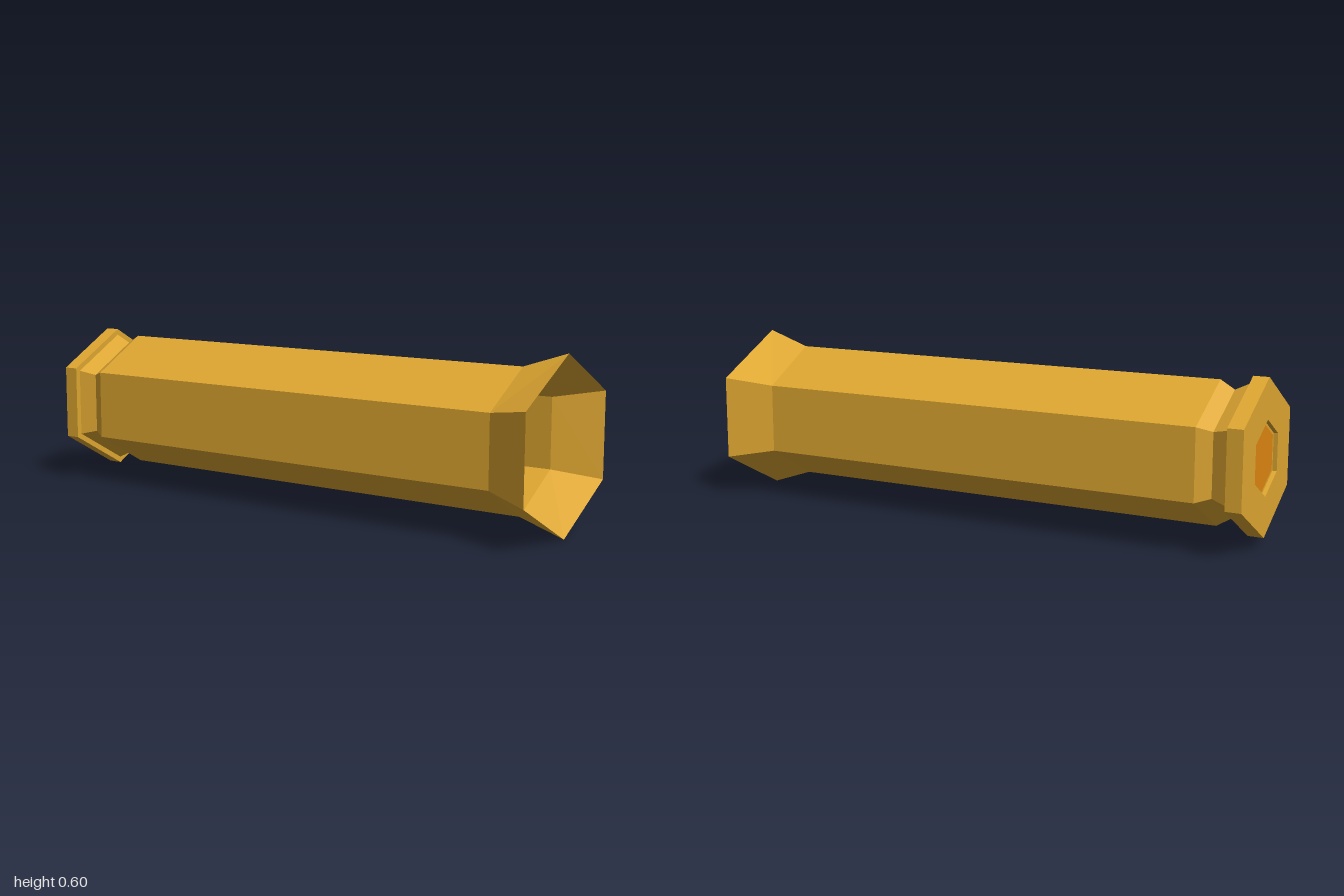
import * as THREE from 'three';

const COS30 = Math.sqrt(3) / 2;

// Hexagonal ring around the x axis, points at top and bottom; halfZ is the half depth.
function hexRing(x, r, halfZ = r * COS30) {
  return [[r, 0], [r / 2, halfZ], [-r / 2, halfZ], [-r, 0], [-r / 2, -halfZ], [r / 2, -halfZ]]
    .map(([y, z]) => [x, y, z]);
}

// Flat-faced skin joining successive hexagonal rings.
function hexSkin(rings) {
  const pos = [];
  for (let i = 0; i < rings.length - 1; i++) {
    for (let k = 0; k < 6; k++) {
      const n = (k + 1) % 6;
      const a = rings[i][k], b = rings[i + 1][k], c = rings[i + 1][n], d = rings[i][n];
      const tris = k % 3 === 2 ? [a, d, c, a, c, b] : [a, d, b, d, c, b];
      tris.forEach((p) => pos.push(...p));
    }
  }
  const geo = new THREE.BufferGeometry();
  geo.setAttribute('position', new THREE.Float32BufferAttribute(pos, 3));
  geo.computeVertexNormals();
  return geo;
}

export function createModel() {
  const gold = new THREE.MeshStandardMaterial({ color: 0xdfa731, side: THREE.DoubleSide });
  gold.name = 'gold';
  const orange = new THREE.MeshStandardMaterial({ color: 0xdf8610, side: THREE.DoubleSide });
  orange.name = 'orange';

  const group = new THREE.Group();
  group.name = 'hexagonalTube';
  const add = (name, geo, mat) => {
    const mesh = new THREE.Mesh(geo, mat);
    mesh.name = name;
    mesh.position.y = 0.3;
    group.add(mesh);
    return mesh;
  };

  // End cap: recess floor and wall, back face, rim, shoulder
  add('endCap', hexSkin([
    hexRing(-0.985, 0.118), hexRing(-0.985, 0.128), hexRing(-1, 0.128),
    hexRing(-1, 0.267), hexRing(-0.945, 0.267), hexRing(-0.945, 0.245),
  ]), gold);

  // Coloured lens in the recess of the cap
  const lens = new THREE.CircleGeometry(0.118, 6, Math.PI / 2);
  lens.rotateY(-Math.PI / 2);
  add('lens', lens, orange).position.x = -0.985;

  // Pinched neck, straight barrel and open flared mouth
  add('neck', hexSkin([
    hexRing(-0.945, 0.245), hexRing(-0.885, 0.217), hexRing(-0.835, 0.247),
  ]), gold);
  add('barrel', hexSkin([hexRing(-0.835, 0.247), hexRing(0.84, 0.247)]), gold);
  add('flaredMouth', hexSkin([hexRing(0.84, 0.247), hexRing(1, 0.3, 0.285)]), gold);

  return group;
}
